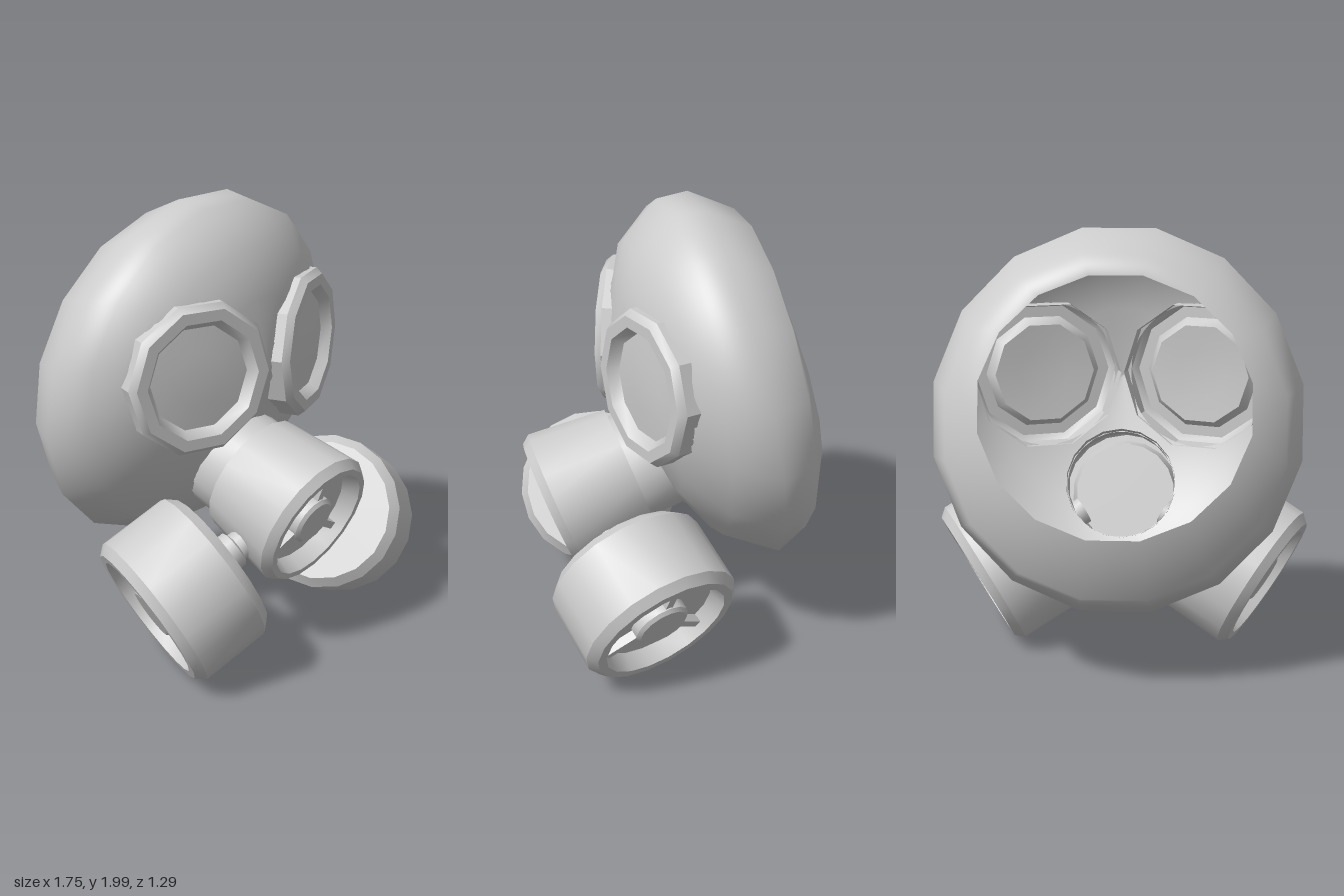
import * as THREE from 'three';
import { toCreasedNormals } from 'three/addons/utils/BufferGeometryUtils.js';

const V = (x, y, z) => new THREE.Vector3(x, y, z);
const grey = new THREE.MeshStandardMaterial({ color: 0xcccccc, side: THREE.DoubleSide });

function mesh(name, geometry) {
  const m = new THREE.Mesh(geometry, grey);
  m.name = name;
  return m;
}

// Turned part whose axis lies along local +z; profile points are [radius, z]
function turned(name, profile, sides, start = 0) {
  const pts = profile.map(([r, z]) => new THREE.Vector2(r, z));
  const g = new THREE.LatheGeometry(pts, sides, start).rotateX(Math.PI / 2);
  return mesh(name, toCreasedNormals(g, 0.6));
}

// Group placed at a point with its +z axis turned along a direction
function aimed(name, at, dir) {
  const g = new THREE.Group();
  g.name = name;
  g.position.copy(at);
  g.lookAt(at.clone().add(dir));
  return g;
}

// Central hub held by three spokes, in front of a recessed plate at depth z
function grille(parent, radius, z) {
  const hub = radius * 0.47;
  parent.add(turned('hub', [[hub, z], [hub, z + 0.045], [hub - 0.015, z + 0.06], [0, z + 0.06]], 14));
  for (let i = 0; i < 3; i++) {
    const a = Math.PI / 2 + (i * Math.PI * 2) / 3;
    const r = (hub * 0.9 + radius) / 2;
    const spoke = mesh('spoke', new THREE.BoxGeometry(radius - hub * 0.9, 0.035, 0.04));
    spoke.position.set(Math.cos(a) * r, Math.sin(a) * r, z + 0.02);
    spoke.rotation.z = a;
    parent.add(spoke);
  }
}

// Face shell: elliptical rings from the rear rim to the front, with round openings
function faceShell(holes) {
  const SIDES = 16, SUB_RING = 8, SUB_SIDE = 8;
  // [top z, top y, bottom z, bottom y, half width]
  const rings = [
    [-0.36, 1.83, -0.645, 0.75, 0.58],
    [-0.34, 1.92, -0.57, 0.46, 0.73],
    [-0.13, 2.01, -0.44, 0.36, 0.81],
    [0.01, 1.985, -0.18, 0.47, 0.765],
    [0.16, 1.82, 0.0, 0.68, 0.58],
    [0.22, 1.6, 0.12, 0.9, 0.33],
    [0.245, 1.28, 0.245, 1.28, 0],
  ];
  const pos = [], idx = [];
  rings.forEach(([tz, ty, bz, by, w], i) => {
    for (let j = 0; j < SIDES; j++) {
      const a = ((j + 0.5) / SIDES) * Math.PI * 2, c = Math.cos(a);
      pos.push(w * Math.sin(a), (ty + by) / 2 + ((ty - by) / 2) * c, (tz + bz) / 2 + ((tz - bz) / 2) * c);
      if (i < rings.length - 1) {
        const p = i * SIDES + j, q = i * SIDES + ((j + 1) % SIDES);
        idx.push(p, p + SIDES, q, q, p + SIDES, q + SIDES);
      }
    }
  });
  const coarse = new THREE.BufferGeometry();
  coarse.setAttribute('position', new THREE.Float32BufferAttribute(pos, 3));
  coarse.setIndex(idx);
  coarse.computeVertexNormals();

  // Refine the coarse cage so the openings get clean edges
  const sample = (attr, i, j) => {
    const r = Math.min(Math.floor(i / SUB_RING), rings.length - 2), u = i / SUB_RING - r;
    const s = Math.floor(j / SUB_SIDE), v = j / SUB_SIDE - s;
    const at = (a, b) => V().fromBufferAttribute(attr, a * SIDES + (b % SIDES));
    return at(r, s).lerp(at(r, s + 1), v).lerp(at(r + 1, s).lerp(at(r + 1, s + 1), v), u);
  };
  const nRing = (rings.length - 1) * SUB_RING, nSide = SIDES * SUB_SIDE;
  const P = [], N = [], T = [], inside = [];
  for (let i = 0; i <= nRing; i++) {
    for (let j = 0; j < nSide; j++) {
      const p = sample(coarse.attributes.position, i, j);
      let hit = -1;
      holes.forEach(({ at, dir, radius }, k) => {
        const d = p.clone().sub(at), along = d.dot(dir);
        const radial = d.addScaledVector(dir, -along);
        if (p.z > -0.25 && radial.length() < radius) {
          hit = k;
          p.copy(at).addScaledVector(dir, along).add(radial.setLength(radius));
        }
      });
      inside.push(hit >= 0);
      P.push(p.x, p.y, p.z);
      N.push(...sample(coarse.attributes.normal, i, j).normalize().toArray());
    }
  }
  const face = (a, b, c) => { if (!(inside[a] && inside[b] && inside[c])) T.push(a, b, c); };
  for (let i = 0; i < nRing; i++) {
    for (let j = 0; j < nSide; j++) {
      const p = i * nSide + j, q = i * nSide + ((j + 1) % nSide);
      face(p, p + nSide, q);
      face(q, p + nSide, q + nSide);
    }
  }
  const g = new THREE.BufferGeometry();
  g.setAttribute('position', new THREE.Float32BufferAttribute(P, 3));
  g.setAttribute('normal', new THREE.Float32BufferAttribute(N, 3));
  g.setIndex(T);
  return mesh('faceShell', g);
}

export function createModel() {
  const model = new THREE.Group();
  model.name = 'gasMask';
  const holes = [];

  for (const side of [1, -1]) {
    const label = side > 0 ? 'left' : 'right';

    // Eyepiece: ten-sided bevelled frame with a recessed lens
    const eyeAt = V(side * 0.37, 1.305, 0.205);
    const eyeDir = V(side * Math.sin(0.33), 0, Math.cos(0.33));
    const eye = aimed(label + 'Eyepiece', eyeAt, eyeDir);
    eye.add(turned('eyeFrame', [[0.34, -0.13], [0.34, -0.03], [0.315, 0], [0.265, 0], [0.232, -0.045]], 10, Math.PI / 2));
    eye.add(turned('lens', [[0.232, -0.045], [0.12, -0.035], [0, -0.032]], 10, Math.PI / 2));
    model.add(eye);
    holes.push({ at: eyeAt, dir: eyeDir, radius: 0.325 });

    // Filter canister, pointing outward, down and slightly back
    const can = aimed(label + 'Canister', V(side * 0.36, 0.5, 0.28), V(side * 0.82, -0.47, -0.31).normalize());
    can.add(turned('canisterBody', [
      [0, 0], [0.325, 0], [0.365, 0.045], [0.365, 0.36], [0.33, 0.4], [0.29, 0.4], [0.265, 0.32], [0, 0.32],
    ], 18));
    grille(can, 0.27, 0.32);
    // Pipe joining the canister to the mouthpiece
    can.add(turned('pipe', [[0.065, -0.2], [0.065, -0.09], [0.085, -0.08], [0.085, 0.02]], 12));
    model.add(can);
  }

  // Mouthpiece: tapered drum on a neck that opens into the shell
  const tilt = 0.366;
  const mouthDir = V(0, -Math.sin(tilt), Math.cos(tilt));
  const mouthAt = V(0, 0.765, 0.168);
  const mouth = aimed('mouthpiece', mouthAt, mouthDir);
  mouth.add(turned('mouthDrum', [
    [0.25, -0.17], [0.25, 0], [0.285, 0], [0.325, 0.36], [0.295, 0.4], [0.265, 0.4], [0.24, 0.32], [0, 0.32],
  ], 18));
  grille(mouth, 0.245, 0.32);
  model.add(mouth);
  holes.push({ at: mouthAt, dir: mouthDir, radius: 0.245 });

  model.add(faceShell(holes));
  return model;
}
